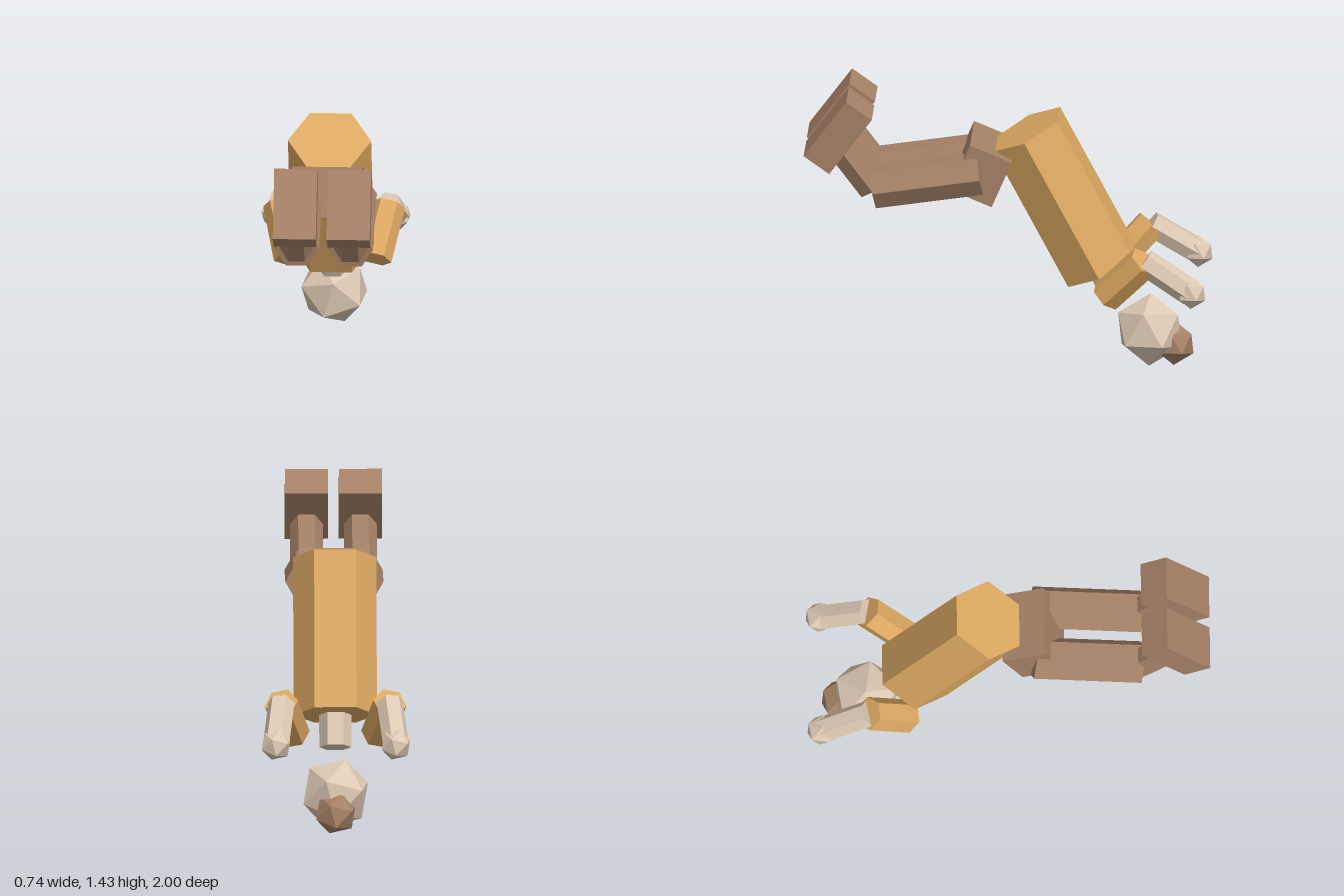
import * as THREE from 'three';

const flat = (name, color) => {
  const m = new THREE.MeshStandardMaterial({ color, flatShading: true });
  m.name = name;
  return m;
};

export function createModel() {
  const gold = flat('gold cloth', 0xdda962);
  const brown = flat('brown', 0xa58166);
  const skin = flat('pale skin', 0xddc8b3);
  const model = new THREE.Group();
  model.name = 'tumblingFigure';
  const up = new THREE.Vector3(0, 1, 0);

  const add = (name, geometry, material) => {
    const mesh = new THREE.Mesh(geometry, material);
    mesh.name = name;
    model.add(mesh);
    return mesh;
  };

  // Six-sided limb between two joints, with ridges facing sideways
  const limb = (name, material, radius, from, to) => {
    const a = new THREE.Vector3(...from), b = new THREE.Vector3(...to);
    const length = a.distanceTo(b);
    const geometry = new THREE.CylinderGeometry(radius, radius, length, 6, 1, false, Math.PI / 6);
    const mesh = add(name, geometry, material);
    mesh.position.copy(a).add(b).multiplyScalar(0.5);
    mesh.quaternion.setFromUnitVectors(up, b.sub(a).normalize());
  };

  // Tilted box, pitched about the x axis
  const block = (name, size, position, pitch) => {
    const mesh = add(name, new THREE.BoxGeometry(...size), brown);
    mesh.position.set(...position);
    mesh.rotation.x = pitch;
  };

  // Faceted ball, sharing one tumbled orientation
  const tumble = new THREE.Matrix4().makeBasis(
    new THREE.Vector3(-0.946, -0.282, 0.155),
    new THREE.Vector3(0.274, -0.457, 0.841),
    new THREE.Vector3(-0.169, 0.849, 0.51));
  const ball = (name, material, radius, position) => {
    const geometry = new THREE.IcosahedronGeometry(radius, 0).applyMatrix4(tumble);
    add(name, geometry, material).position.set(...position);
  };

  // Trunk and head
  limb('torso', gold, 0.207, [0, 0.517, -0.464], [0, 1.228, -0.093]);
  limb('neck', skin, 0.08, [0, 0.371, -0.538], [0, 0.56, -0.442]);
  ball('head', skin, 0.18, [0, 0.18, -0.705]);
  ball('hairBun', brown, 0.11, [0, 0.112, -0.826]);
  block('hips', [0.35, 0.257, 0.226], [0, 1.038, 0.126], -0.4);

  // Arms and legs, mirrored
  for (const [side, s] of [['left', 1], ['right', -1]]) {
    const elbow = [s * 0.27, 0.64, -0.694];
    const wrist = [s * 0.298, 0.49, -0.928];
    limb(side + 'UpperArm', gold, 0.084, [s * 0.21, 0.43, -0.499], elbow);
    limb(side + 'Forearm', skin, 0.067, elbow, wrist);
    ball(side + 'Hand', skin, 0.08, wrist);

    const x = s * 0.134, knee = [x, 0.956, 0.662];
    limb(side + 'Thigh', brown, 0.11, [x, 1.04, 0.128], knee);
    limb(side + 'Shin', brown, 0.082, knee, [x, 1.18, 0.828]);
    block(side + 'Foot', [0.214, 0.36, 0.157], [x, 1.249, 0.834], -0.63);
  }
  return model;
}
